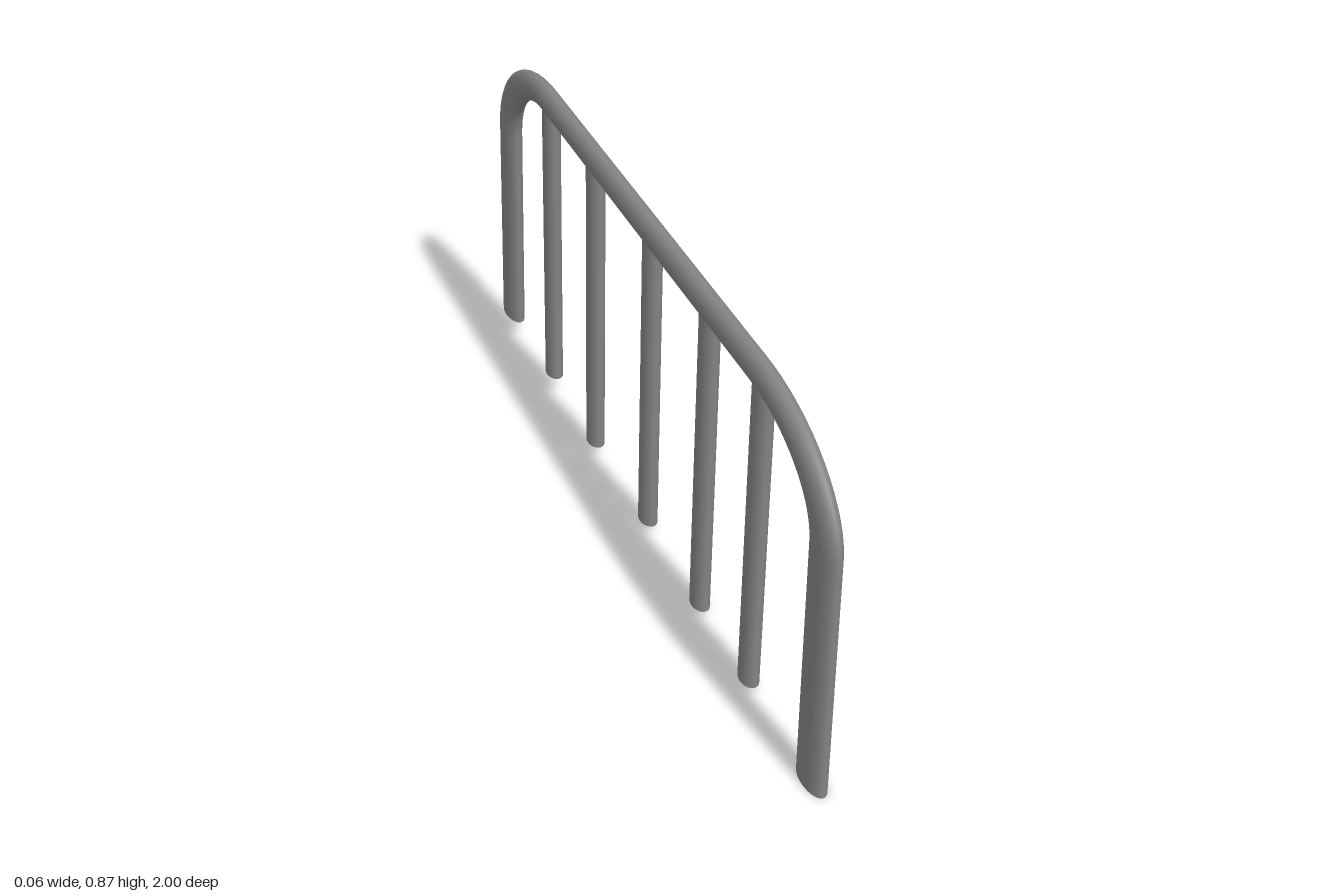
import * as THREE from 'three';

// The frame tube is bent round, then flattened across x and widened along z.
const SCALE = new THREE.Vector3(0.7, 1, 1.64);
const point = (x, y, z) => new THREE.Vector3(x, y, z).divide(SCALE);

// Quarter bend rounding off a corner
function bend(a, corner, b) {
  const k = 0.55;
  return new THREE.CubicBezierCurve3(a, a.clone().lerp(corner, k), b.clone().lerp(corner, k), b);
}

// Bent frame with open feet: front leg, sloping top rail, back leg
function frameGeometry() {
  const frontFoot = point(0.004, 0, 0.942), frontKnee = point(0.004, 0.59, 0.946);
  const railFront = point(0.002, 0.799, 0.62), railBack = point(-0.004, 0.832, -0.61);
  const backKnee = point(-0.006, 0.62, -0.917), backFoot = point(-0.009, 0.052, -0.943);
  const path = new THREE.CurvePath();
  path.add(new THREE.LineCurve3(frontFoot, frontKnee));
  path.add(bend(frontKnee, point(0.003, 0.793, 0.946), railFront));
  path.add(new THREE.LineCurve3(railFront, railBack));
  path.add(bend(railBack, point(-0.005, 0.84, -0.907), backKnee));
  path.add(new THREE.LineCurve3(backKnee, backFoot));
  return new THREE.TubeGeometry(path, 120, 0.034, 24, false).scale(SCALE.x, SCALE.y, SCALE.z);
}

// Oval closed bar leaning from its foot to its top
function barGeometry(foot, top) {
  const span = top.clone().sub(foot);
  const middle = foot.clone().lerp(top, 0.5);
  return new THREE.CylinderGeometry(1, 1, span.length(), 20)
    .scale(0.021, 1, 0.0335)
    .rotateX(Math.atan2(span.z, span.y))
    .rotateZ(-Math.atan2(span.x, span.y))
    .translate(middle.x, middle.y, middle.z);
}

export function createModel() {
  const group = new THREE.Group();
  const material = new THREE.MeshStandardMaterial({ color: 0x848484, side: THREE.DoubleSide });
  const add = (name, geometry) => {
    const mesh = new THREE.Mesh(geometry, material);
    mesh.name = name;
    group.add(mesh);
  };

  add('railFrame', frameGeometry());

  // Upright bars: [x, top z, foot z, foot y]
  const bars = [
    [0.004, 0.643, 0.626, 0.015],
    [0.007, 0.366, 0.346, 0.009],
    [0.007, 0.044, 0.025, 0.022],
    [-0.002, -0.291, -0.311, 0.033],
    [-0.004, -0.596, -0.617, 0.052],
  ];
  bars.forEach(([x, zTop, zFoot, yFoot], i) => {
    const yTop = 0.8 - 0.027 * zTop;
    const foot = new THREE.Vector3(x - 0.002, yFoot, zFoot);
    const top = new THREE.Vector3(x + 0.001, yTop, zTop);
    add(`uprightBar${i + 1}`, barGeometry(foot, top));
  });
  return group;
}
